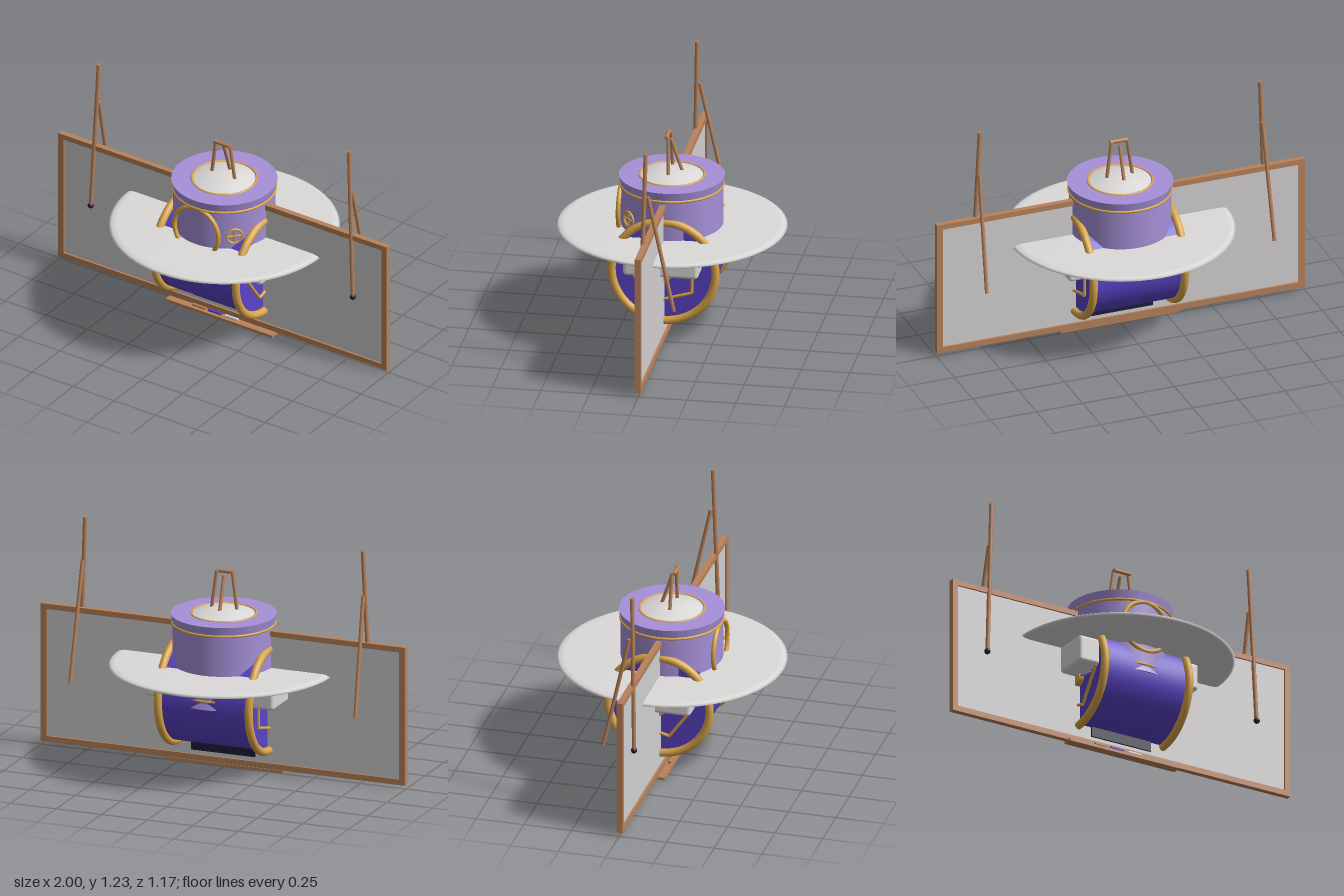
import * as THREE from 'three';
import { RoundedBoxGeometry } from 'three/addons/geometries/RoundedBoxGeometry.js';

const mat = (name, color, side = THREE.FrontSide) => {
  const m = new THREE.MeshStandardMaterial({ color, side });
  m.name = name;
  return m;
};

export function createModel() {
  const root = new THREE.Group();
  root.name = 'model';
  const wood = mat('wood', 0xb9825a);
  const gold = mat('gold', 0xd9a548);
  const violet = mat('violet', 0x5a42c6);
  const lavender = mat('lavender', 0xa590d8);
  const white = mat('white', 0xdcdad9);
  const panelGrey = mat('panel grey', 0xd2d0d1);
  const navy = mat('navy', 0x1f1c38);

  const add = (name, geo, material, x = 0, y = 0, z = 0, parent = root) => {
    const m = new THREE.Mesh(geo, material);
    m.name = name;
    m.position.set(x, y, z);
    parent.add(m);
    return m;
  };
  // Round bar between two points
  const bar = (name, a, b, r, material, parent = root) => {
    const p = new THREE.Vector3(...a), q = new THREE.Vector3(...b);
    const d = q.clone().sub(p);
    const m = add(name, new THREE.CylinderGeometry(r, r, d.length(), 12), material, 0, 0, 0, parent);
    m.position.copy(p).add(q).multiplyScalar(0.5);
    m.quaternion.setFromUnitVectors(new THREE.Vector3(0, 1, 0), d.normalize());
    return m;
  };
  const ring = (name, r, tube, x, y, z) =>
    add(name, new THREE.TorusGeometry(r, tube, 12, 64), gold, x, y, z);
  const lathe = (pts) => new THREE.LatheGeometry(pts.map(p => new THREE.Vector2(...p)), 64);

  // Board: frame with a rectangular opening, and its panel
  const outline = new THREE.Shape([[-1, 0.02], [1, 0.02], [1, 0.75], [-1, 0.75]].map(p => new THREE.Vector2(...p)));
  outline.holes.push(new THREE.Path([[-0.968, 0.05], [-0.968, 0.722], [0.968, 0.722], [0.968, 0.05]].map(p => new THREE.Vector2(...p))));
  add('boardFrame', new THREE.ExtrudeGeometry(outline, { depth: 0.03, bevelEnabled: false }), wood, 0, 0, -0.012);
  add('boardPanel', new THREE.BoxGeometry(1.94, 0.676, 0.01), panelGrey, 0, 0.386, 0.003);

  // Tray and markers
  add('tray', new THREE.BoxGeometry(0.65, 0.015, 0.052), wood, 0, 0.0075, 0.025);
  [[-0.13, wood], [-0.035, violet], [0.067, white]].forEach(([x, m]) =>
    bar('marker', [x - 0.039, 0.026, 0.033], [x + 0.039, 0.026, 0.033], 0.008, m));

  // Leaning poles with dark feet and rear braces
  for (const s of [-1, 1]) {
    bar('pole', [s * 0.762, 1.23, 0.003], [s * 0.797, 0.395, 0.023], 0.011, wood);
    add('poleFoot', new THREE.SphereGeometry(0.016, 16, 12), navy, s * 0.798, 0.393, 0.023);
    bar('poleBrace', [s * 0.77, 1.0, -0.01], [s * 0.782, 0.39, -0.145], 0.01, wood);
  }

  // Horizontal drum
  const drum = add('drum', new THREE.CylinderGeometry(0.26, 0.26, 0.48, 64), violet, 0, 0.385, 0);
  drum.rotation.z = Math.PI / 2;
  add('keel', new THREE.BoxGeometry(0.35, 0.07, 0.028), navy, 0, 0.108, 0.003);
  for (const s of [-1, 1]) {
    ring('drumRim', 0.267, 0.021, s * 0.249, 0.384, 0).rotation.y = Math.PI / 2;
    const hub = add('hub', new THREE.CylinderGeometry(0.05, 0.05, 0.04, 32), gold, s * 0.25, 0.385, 0);
    hub.rotation.z = Math.PI / 2;
    add('sideBox', new RoundedBoxGeometry(0.15, 0.145, 0.385, 4, 0.018), white, s * 0.278, 0.46, 0);
    // Bent rod under the box
    const path = [[0.18, 0.39], [0.055, 0.217], [-0.145, 0.275], [-0.147, 0.4]];
    for (let i = 0; i < 3; i++) {
      const [z0, y0] = path[i], [z1, y1] = path[i + 1];
      bar('sideRod', [s * 0.252, y0, z0], [s * 0.252, y1, z1], 0.008, gold);
    }
  }

  // Upright barrel with flared collars
  add('barrel', new THREE.CylinderGeometry(0.26, 0.26, 0.385, 64), lavender, 0, 0.5775, 0);
  add('topCollar', new THREE.CylinderGeometry(0.269, 0.26, 0.047, 64), lavender, 0, 0.7915, 0);
  add('bottomCollar', new THREE.CylinderGeometry(0.26, 0.27, 0.03, 64), lavender, 0, 0.39, 0);
  ring('upperBand', 0.26, 0.007, 0, 0.766, 0).rotation.x = Math.PI / 2;
  ring('lowerBand', 0.26, 0.006, 0, 0.417, 0).rotation.x = Math.PI / 2;
  ring('frontRing', 0.134, 0.012, 0, 0.63, 0.254);

  // Small latch on the front left of the barrel
  const latch = new THREE.Group();
  latch.name = 'latch';
  latch.position.set(0.19, 0.63, 0.19);
  latch.rotation.y = Math.PI / 4;
  add('latchRing', new THREE.TorusGeometry(0.04, 0.006, 8, 32), gold, 0, 0, 0, latch);
  bar('latchBar', [0, -0.04, 0], [0, 0.04, 0], 0.005, gold, latch);
  bar('latchBar', [-0.04, 0, 0], [0.04, 0, 0], 0.005, gold, latch);
  root.add(latch);

  // Wide saucer brim
  add('brim', lathe([[0, 0.525], [0.545, 0.527], [0.572, 0.532], [0.585, 0.54],
    [0.572, 0.548], [0.545, 0.554], [0, 0.554]]), white);

  // Shallow lid dome and its ring
  add('lidDome', lathe([[0.165, 0.813], [0.145, 0.818], [0.12, 0.828], [0.08, 0.838], [0.04, 0.844], [0, 0.845]]), white);
  ring('lidRing', 0.165, 0.006, 0, 0.814, 0).rotation.x = Math.PI / 2;

  // Three-legged stand on the lid
  for (const s of [-1, 1]) bar('standLeg', [s * 0.07, 0.83, 0.008], [s * 0.043, 1.03, 0.012], 0.009, wood);
  bar('standRearLeg', [0, 0.83, -0.055], [0, 1.01, 0.005], 0.009, wood);
  bar('standCrossbar', [-0.048, 1.028, 0.022], [0.048, 1.028, 0.022], 0.01, wood);

  return root;
}
